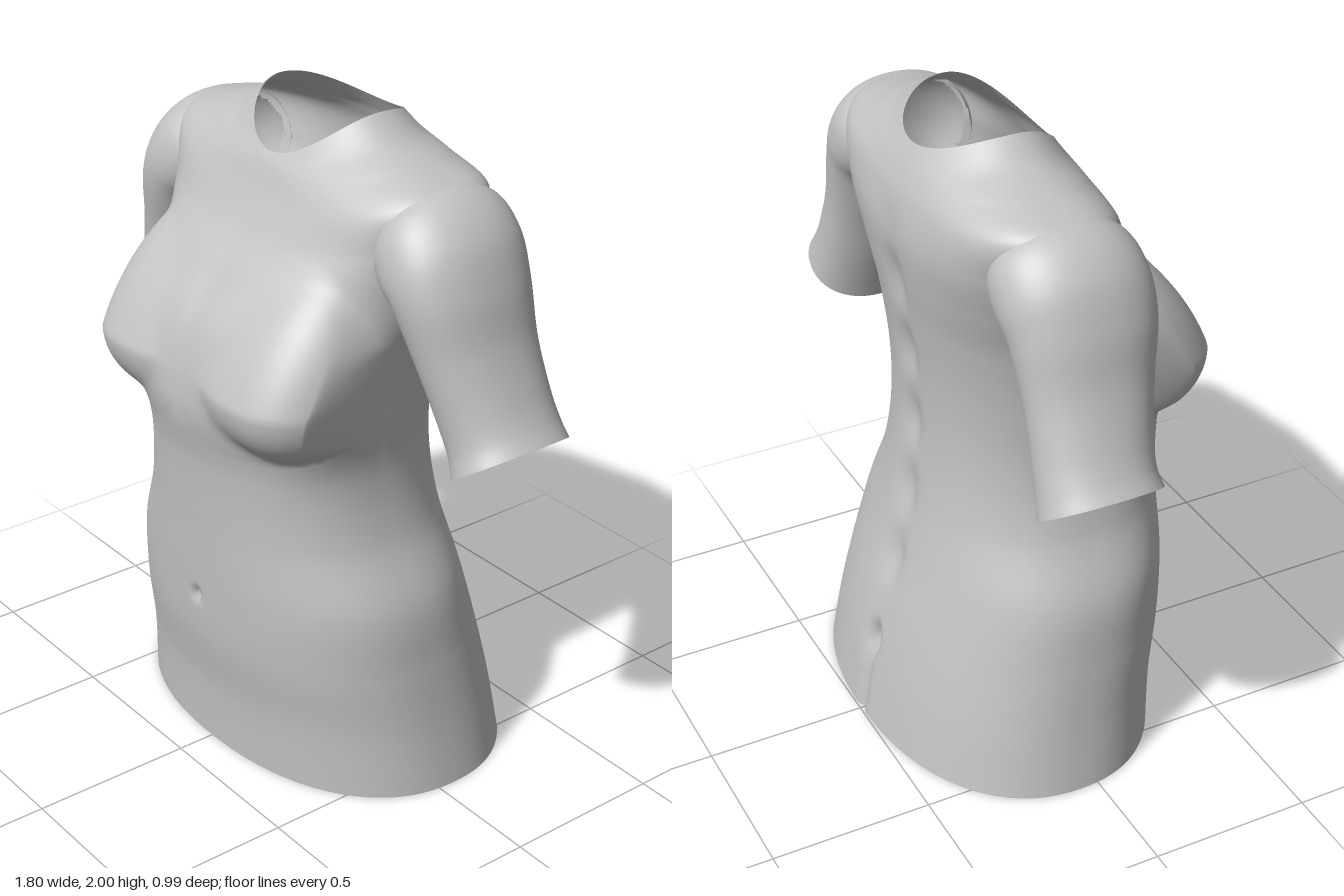
import * as THREE from 'three';

const plaster = new THREE.MeshStandardMaterial({ color: 0xc2c2c2, side: THREE.DoubleSide });
plaster.name = 'plaster grey';

// Smoothly blend a list of number rows at t in 0..1
function blend(rows, t) {
  const f = t * (rows.length - 1);
  const i = Math.min(Math.floor(f), rows.length - 2);
  const u = f - i;
  const at = k => rows[Math.max(0, Math.min(rows.length - 1, k))];
  return rows[i].map((b, k) => {
    const a = at(i - 1)[k], c = at(i + 1)[k], d = at(i + 2)[k];
    return b + 0.5 * u * (c - a + u * (2 * a - 5 * b + 4 * c - d + u * (3 * (b - c) + d - a)));
  });
}

// Open tube through closed rings, running upwards; point(t, angle) gives [x, y, z].
// Faces wholly hidden inside the neighbouring part are left out.
function loft(name, rows, sides, point, hidden, mirror = 1) {
  const pos = [], index = [], buried = [];
  for (let j = 0; j <= rows; j++) {
    for (let i = 0; i < sides; i++) {
      const [x, y, z] = point(j / rows, (i / sides) * Math.PI * 2);
      pos.push(x * mirror, y, z);
      buried.push(hidden(Math.abs(x), y, z));
    }
  }
  for (let j = 0; j < rows; j++) {
    for (let i = 0; i < sides; i++) {
      const a = j * sides + i, b = j * sides + ((i + 1) % sides);
      const quad = [a, a + sides, b, b, a + sides, b + sides];
      if (quad.every(k => buried[k])) continue;
      index.push(...(mirror > 0 ? quad : quad.reverse()));
    }
  }
  const geo = new THREE.BufferGeometry();
  geo.setAttribute('position', new THREE.Float32BufferAttribute(pos, 3));
  geo.setIndex(index);
  geo.computeVertexNormals();
  const mesh = new THREE.Mesh(geo, plaster);
  mesh.name = name;
  return mesh;
}

const bump = (d, width) => Math.exp(-(d * d) / (width * width));
const power = (v, p) => Math.sign(v) * Math.abs(v) ** p;
const step = THREE.MathUtils.smoothstep;

// Torso rings: y at front, side, back; half width; z of front and back; squareness
const torsoRings = [
  [0, 0, 0, 0.645, 0.38, -0.495, 0.9],
  [0.2, 0.2, 0.2, 0.612, 0.39, -0.46, 0.88],
  [0.4, 0.4, 0.4, 0.585, 0.42, -0.415, 0.88],
  [0.6, 0.6, 0.6, 0.553, 0.43, -0.36, 0.88],
  [0.8, 0.8, 0.8, 0.465, 0.436, -0.32, 0.88],
  [1, 1, 1, 0.43, 0.447, -0.3, 0.88],
  [1.2, 1.2, 1.2, 0.448, 0.475, -0.303, 0.9],
  [1.4, 1.4, 1.4, 0.475, 0.43, -0.325, 0.9],
  [1.55, 1.55, 1.55, 0.5, 0.33, -0.347, 0.85],
  [1.66, 1.71, 1.68, 0.535, 0.245, -0.357, 0.78],
  [1.76, 1.85, 1.79, 0.56, 0.19, -0.34, 0.75],
  [1.82, 1.902, 1.86, 0.42, 0.165, -0.315, 0.85],
  [1.85, 1.94, 1.9, 0.31, 0.15, -0.295, 0.95],
  [1.87, 2, 1.93, 0.222, 0.135, -0.277, 1],
];

// Forward swell of the chest over height z: rounded below, a long slope above
function chestSwell(x, y, z) {
  const dy = y - 1.28;
  const dx = Math.abs(x) - 0.27;
  const u = Math.abs(dx / (dx > 0 ? 0.23 : 0.28));
  const v = dy / (dy > 0 ? 0.38 : 0.205);
  const rise = Math.max(0, 1 - u ** 2.5 - v * v) ** 0.48;
  const target = 0.25 - 0.42 * Math.max(0, dy) + 0.242 * rise;
  const gap = target - z;
  return 0.5 * (gap + Math.hypot(gap, 0.025)) * step(rise, 0, 0.45);
}

function torsoPoint(t, angle) {
  const [yf, ys, yb, w, zf, zb, p] = blend(torsoRings, t);
  const c = Math.cos(angle), s = Math.sin(angle);
  let x = w * power(c, p);
  const y = ys * c * c + (s > 0 ? yf : yb) * s * s;
  let z = (zf + zb) / 2 + ((zf - zb) / 2) * power(s, p);
  if (s > 0) {
    // chest, swelling outwards as well as forwards
    x += 0.13 * c * s * bump(y - 1.27, 0.16) * step(Math.abs(c), 0.5, 0.95);
    z += chestSwell(x, y, z) * step(s, 0, 0.35);
    // navel and a faint centre line
    z -= 0.025 * bump(x, 0.016) * bump(y - 0.53, 0.022);
    z -= 0.006 * bump(x, 0.05) * step(y, 1.1, 1.25) * (1 - step(y, 1.5, 1.75));
  } else {
    // spine furrow with vertebrae, and the cleft below it
    const furrow = step(y, 0.3, 0.5) * (1 - step(y, 1.55, 1.8));
    z += (0.018 + 0.007 * Math.sin(y * 26)) * bump(x, 0.055) * furrow;
    z += 0.02 * bump(x, 0.014) * (1 - step(y, 0.2, 0.36));
    z += 0.035 * bump(x, 0.03) * bump(y - 0.26, 0.05);
  }
  return [x, y, z];
}

// Upper arm rings from the cut end to the shoulder: inner x, y; outer x, y; z front, back
const armRings = [
  [0.66, 1.065, 0.9, 1.23, 0.085, -0.28],
  [0.64, 1.125, 0.865, 1.275, 0.075, -0.272],
  [0.605, 1.22, 0.825, 1.35, 0.085, -0.265],
  [0.55, 1.37, 0.77, 1.49, 0.115, -0.262],
  [0.475, 1.53, 0.73, 1.645, 0.15, -0.275],
  [0.41, 1.58, 0.67, 1.78, 0.155, -0.288],
  [0.37, 1.63, 0.565, 1.866, 0.13, -0.275],
  [0.34, 1.68, 0.42, 1.878, 0.06, -0.21],
];

function armPoint(t, angle) {
  const [ix, iy, ox, oy, zf, zb] = blend(armRings, t);
  const c = power(Math.cos(angle), 0.92), s = power(Math.sin(angle), 0.92);
  return [
    (ix + ox) / 2 + ((ox - ix) / 2) * c,
    (iy + oy) / 2 + ((oy - iy) / 2) * c,
    (zf + zb) / 2 + ((zf - zb) / 2) * s,
  ];
}

// Finely stepped rings, for finding what lies inside each part
const fine = rows => Array.from({ length: 121 }, (_, i) => blend(rows, i / 120));
const torsoSteps = fine(torsoRings), armSteps = fine(armRings);

// Is a point well inside the torso? Uses the ring that passes nearest its height
function insideTorso(x, y, z) {
  let nearest = 0.03, inside = false;
  for (const [yf, ys, yb, w, zf, zb, p] of torsoSteps) {
    const a = (x / w) ** (2 / p);
    const b = Math.abs((2 * z - zf - zb) / (zf - zb)) ** (2 / p);
    const ringY = (ys * a + (2 * z > zf + zb ? yf : yb) * b) / (a + b);
    if (Math.abs(ringY - y) > nearest) continue;
    nearest = Math.abs(ringY - y);
    inside = a + b < 0.88;
  }
  return inside;
}

// Is a point well inside the upper arm? Uses the ring whose plane is nearest
function insideArm(x, y, z) {
  if (x < 0.36 || y < 1.45) return false;
  let nearest = 0.02, inside = false;
  for (const [ix, iy, ox, oy, zf, zb] of armSteps) {
    const dx = ox - ix, dy = oy - iy, len = Math.hypot(dx, dy);
    const px = x - (ix + ox) / 2, py = y - (iy + oy) / 2;
    const off = Math.abs(px * dy - py * dx) / len;
    if (off > nearest) continue;
    nearest = off;
    const a = (2 * (px * dx + py * dy)) / (len * len);
    const b = (2 * z - zf - zb) / (zf - zb);
    inside = a * a + b * b < 0.85;
  }
  return inside;
}

export function createModel() {
  const model = new THREE.Group();
  model.name = 'torsoForm';
  model.add(loft('torso', 210, 280, torsoPoint, insideArm));
  model.add(loft('leftUpperArm', 56, 56, armPoint, insideTorso));
  model.add(loft('rightUpperArm', 56, 56, armPoint, insideTorso, -1));
  return model;
}
